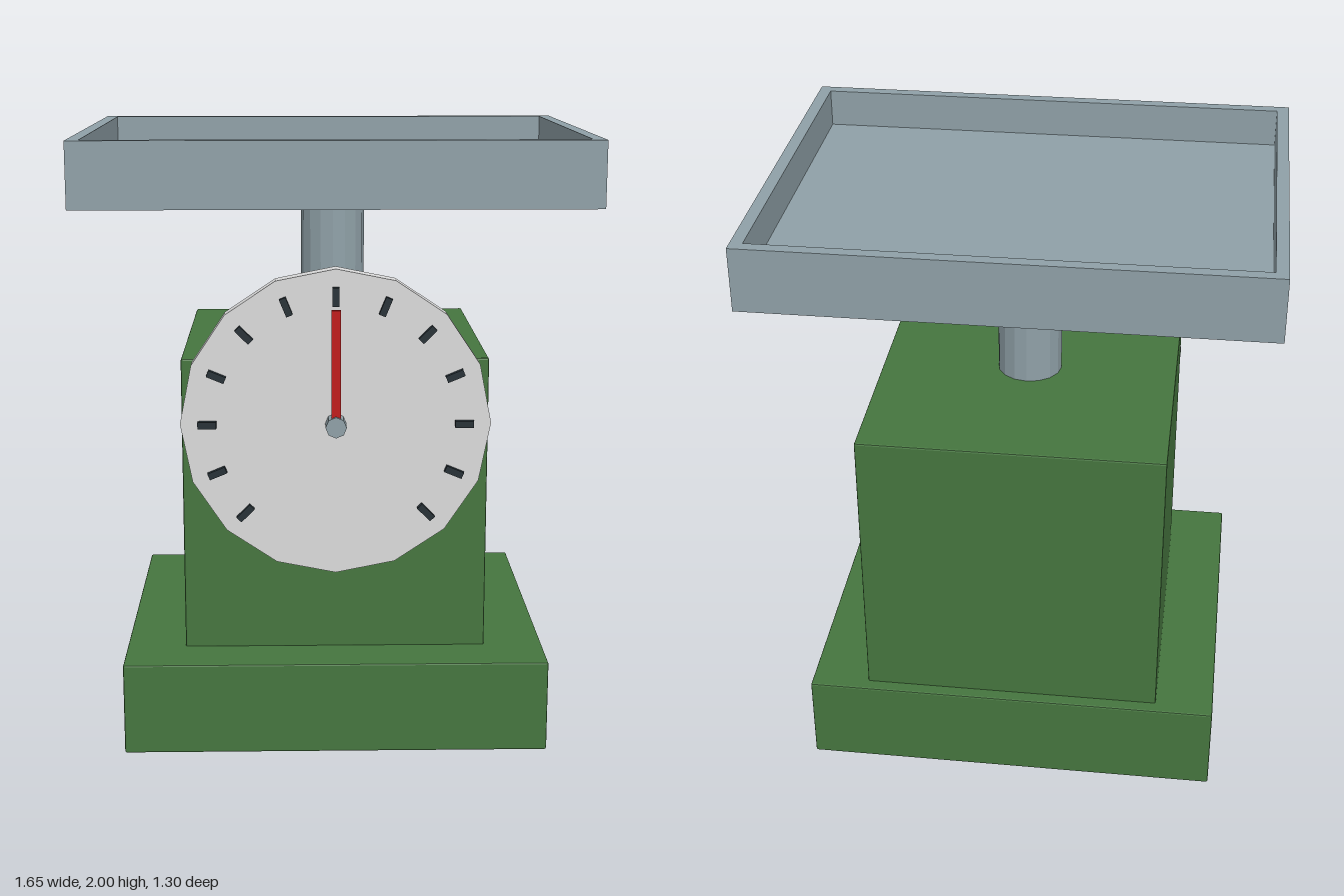
import * as THREE from 'three';
import { RoundedBoxGeometry } from 'three/addons/geometries/RoundedBoxGeometry.js';

export function createModel() {
  const model = new THREE.Group();
  model.name = 'kitchenScale';

  const material = (name, color) => {
    const m = new THREE.MeshStandardMaterial({ color, flatShading: true });
    m.name = name;
    return m;
  };
  const green = material('greenPaint', 0x46763f);
  const metal = material('greyMetal', 0x90a1a8);
  const white = material('dialWhite', 0xdcdcdc);
  const black = material('tickBlack', 0x263036);
  const red = material('needleRed', 0xc01818);

  const add = (name, geometry, mat, x, y, z, parent = model) => {
    const mesh = new THREE.Mesh(geometry, mat);
    mesh.name = name;
    mesh.position.set(x, y, z);
    parent.add(mesh);
    return mesh;
  };
  const box = (w, h, d) => new THREE.BoxGeometry(w, h, d);
  const softBox = (w, h, d) => new RoundedBoxGeometry(w, h, d, 1, 0.006);
  // Disc whose axis runs along z
  const disc = (r, depth, sides) =>
    new THREE.CylinderGeometry(r, r, depth, sides).rotateX(Math.PI / 2);

  // Housing
  add('base', softBox(1.39, 0.305, 1.215), green, 0, 0.1525, 0.002);
  add('body', softBox(1, 0.985, 0.995), green, 0, 0.7925, -0.065);

  // Post under the tray
  add('post', new THREE.CylinderGeometry(0.108, 0.108, 0.52, 16), metal, 0, 1.54, 0);

  // Tray: floor slab with four raised walls
  const tray = new THREE.Group();
  tray.name = 'tray';
  model.add(tray);
  add('trayFloor', box(1.65, 0.085, 1.3), metal, 0, 1.8325, 0, tray);
  for (const s of [-1, 1]) {
    add(s > 0 ? 'frontWall' : 'backWall', box(1.65, 0.125, 0.04), metal, 0, 1.9375, s * 0.63, tray);
    add(s > 0 ? 'leftWall' : 'rightWall', box(0.04, 0.125, 1.22), metal, s * 0.805, 1.9375, 0, tray);
  }

  // Dial with ticks, needle and hub
  const dial = new THREE.Group();
  dial.name = 'dial';
  dial.position.set(0, 1.09, 0);
  model.add(dial);
  add('dialPlate', disc(0.5, 0.062, 16), white, 0, 0, 0.49, dial);
  const tickGeometry = box(0.022, 0.06, 0.02);
  for (let i = -6; i <= 6; i++) {
    const a = (i * Math.PI) / 8;
    const tick = add('tick', tickGeometry, black, Math.sin(a) * 0.413, Math.cos(a) * 0.413, 0.536, dial);
    tick.rotation.z = -a;
  }
  add('needle', box(0.03, 0.375, 0.016), red, 0, 0.1875, 0.565, dial);
  add('hub', disc(0.034, 0.064, 8), metal, 0, 0, 0.552, dial);

  return model;
}
